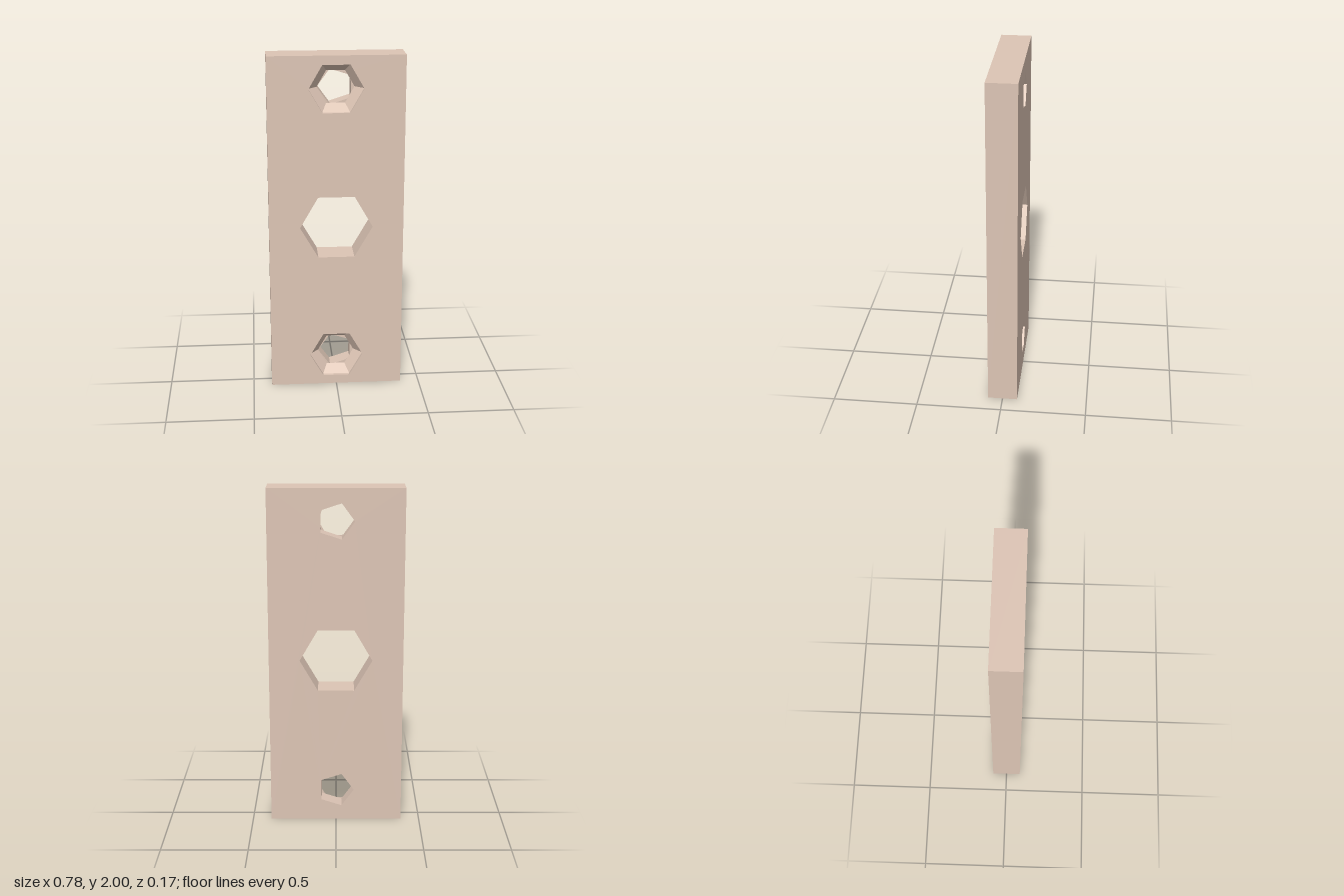
import * as THREE from 'three';

const W = 0.39, H = 2, ZF = 0.087, ZB = -0.087; // half width, height, front and back z
const LIP = 0.067, STEP = 0.012;               // z levels inside the screw holes
const SCREW_Y = [0.19, 1.812], MID_Y = 1;

// Regular polygon sampled at 60 angles, so that rings of 5 and 6 sides can be joined
function polygon(sides, radius, phase, cy) {
  const seg = (Math.PI * 2) / sides, pts = [];
  for (let i = 0; i < 60; i++) {
    const a = (i * Math.PI) / 30;
    const local = (((a - phase) % seg) + seg) % seg - seg / 2;
    const r = (radius * Math.cos(seg / 2)) / Math.cos(local);
    pts.push(new THREE.Vector2(r * Math.cos(a), cy + r * Math.sin(a)));
  }
  return pts;
}

// Walls through a list of [points, z] rings; front to back faces inward, back to front outward
function loft(rings) {
  const pos = [], put = (p, z) => pos.push(p.x, p.y, z);
  for (let k = 0; k < rings.length - 1; k++) {
    const [p, z0] = rings[k], [q, z1] = rings[k + 1];
    for (let i = 0; i < p.length; i++) {
      const j = (i + 1) % p.length;
      put(p[i], z0); put(p[j], z0); put(q[i], z1);
      put(p[j], z0); put(q[j], z1); put(q[i], z1);
    }
  }
  const g = new THREE.BufferGeometry();
  g.setAttribute('position', new THREE.Float32BufferAttribute(pos, 3));
  g.computeVertexNormals();
  return g;
}

const rectangle = () => [[-W, 0], [W, 0], [W, H], [-W, H]].map(([x, y]) => new THREE.Vector2(x, y));

function face(holes) {
  const shape = new THREE.Shape(rectangle());
  holes.forEach((pts) => shape.holes.push(new THREE.Path(pts)));
  return new THREE.ShapeGeometry(shape);
}

export function createModel() {
  const group = new THREE.Group();
  const material = new THREE.MeshStandardMaterial({ color: 0xddc5b5, flatShading: true, side: THREE.DoubleSide });
  const add = (name, geometry) => {
    const mesh = new THREE.Mesh(geometry, material);
    mesh.name = name;
    group.add(mesh);
  };

  const middle = polygon(6, 0.211, 0, MID_Y);
  const wide = (y) => polygon(6, 0.157, 0, y);
  const narrow = (y) => polygon(6, 0.107, 0, y);
  const bore = (y, phase = Math.PI) => polygon(5, 0.107, phase, y);

  // Plate: front, back (drawn mirrored, then turned round) and outer edges
  add('plateFront', face([middle, ...SCREW_Y.map(wide)]).translate(0, 0, ZF));
  add('plateBack', face([middle, ...SCREW_Y.map((y) => bore(y, 0))]).rotateY(Math.PI).translate(0, 0, ZB));
  add('plateEdges', loft([[rectangle(), ZB], [rectangle(), ZF]]));

  // Large hexagonal hole
  add('centreHole', loft([[middle, ZF], [middle, ZB]]));

  // Countersunk screw holes: lip, taper, small step, five-sided bore
  SCREW_Y.forEach((y, i) => add(i ? 'upperScrewHole' : 'lowerScrewHole', loft([
    [wide(y), ZF], [wide(y), LIP], [narrow(y), STEP], [bore(y), STEP], [bore(y), ZB],
  ])));
  return group;
}
